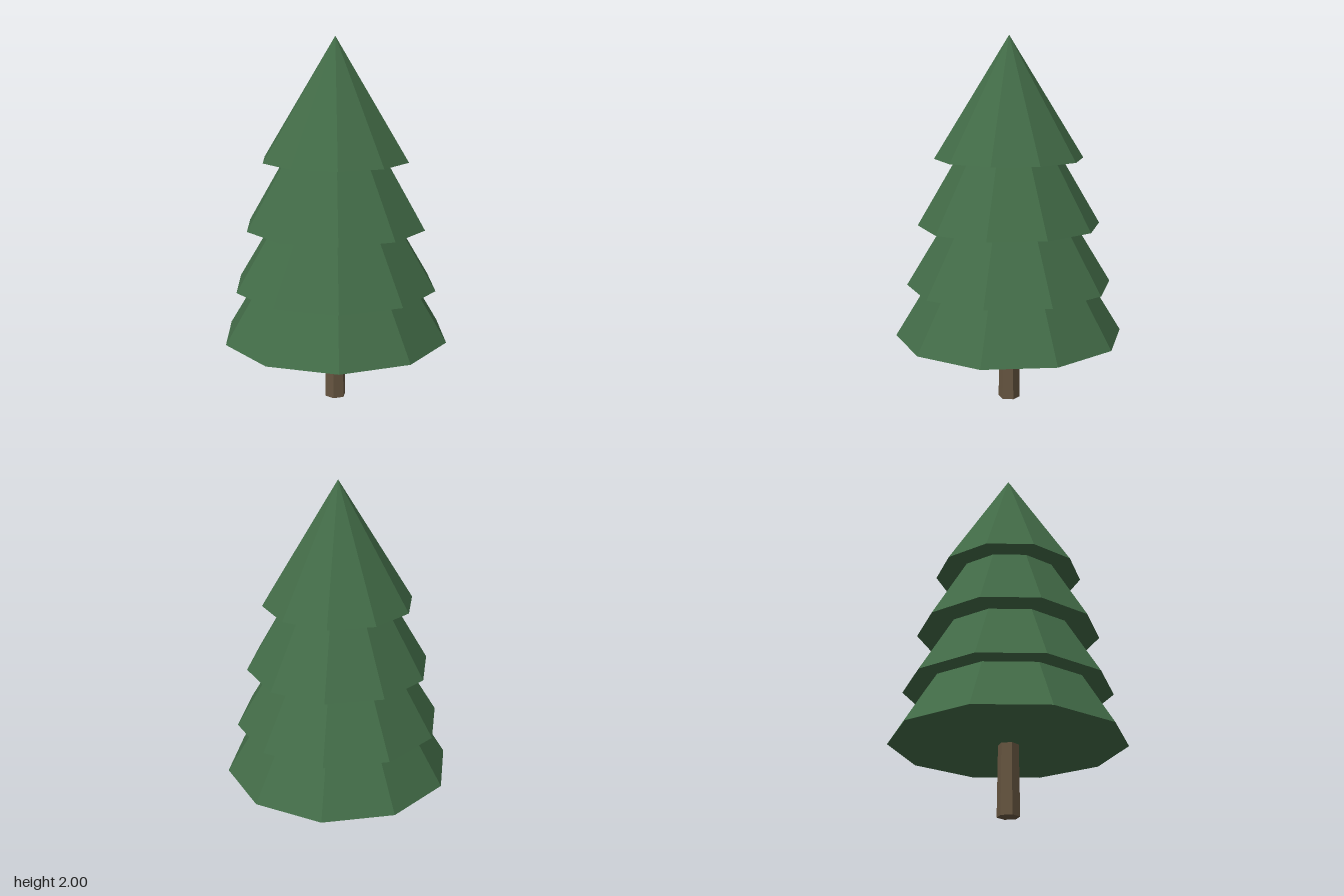
import * as THREE from 'three';

export function createModel() {
  const tree = new THREE.Group();
  tree.name = 'pineTree';

  const green = new THREE.MeshStandardMaterial({ color: 0x426b47, flatShading: true });
  const brown = new THREE.MeshStandardMaterial({ color: 0x665540, flatShading: true });

  // Solid frustum standing at baseY, turned so that a corner points along +x
  function addPart(name, topRadius, baseRadius, baseY, height, sides, material) {
    const geometry = new THREE.CylinderGeometry(topRadius, baseRadius, height, sides);
    geometry.rotateY(Math.PI / 2);
    geometry.translate(0, baseY + height / 2, 0);
    const mesh = new THREE.Mesh(geometry, material);
    mesh.name = name;
    tree.add(mesh);
  }

  // Slightly tapered hexagonal trunk, reaching into the lowest tier
  addPart('trunk', 0.053, 0.06, 0, 0.5, 6, brown);

  // Overlapping ten-sided cones: base radius, base height, cone height
  const tiers = [
    [0.625, 0.375, 1.02],
    [0.56, 0.66, 0.92],
    [0.496, 0.99, 0.845],
    [0.403, 1.35, 0.65],
  ];
  tiers.forEach(([radius, y, height], i) =>
    addPart(`foliageTier${i + 1}`, 0, radius, y, height, 10, green));

  return tree;
}
